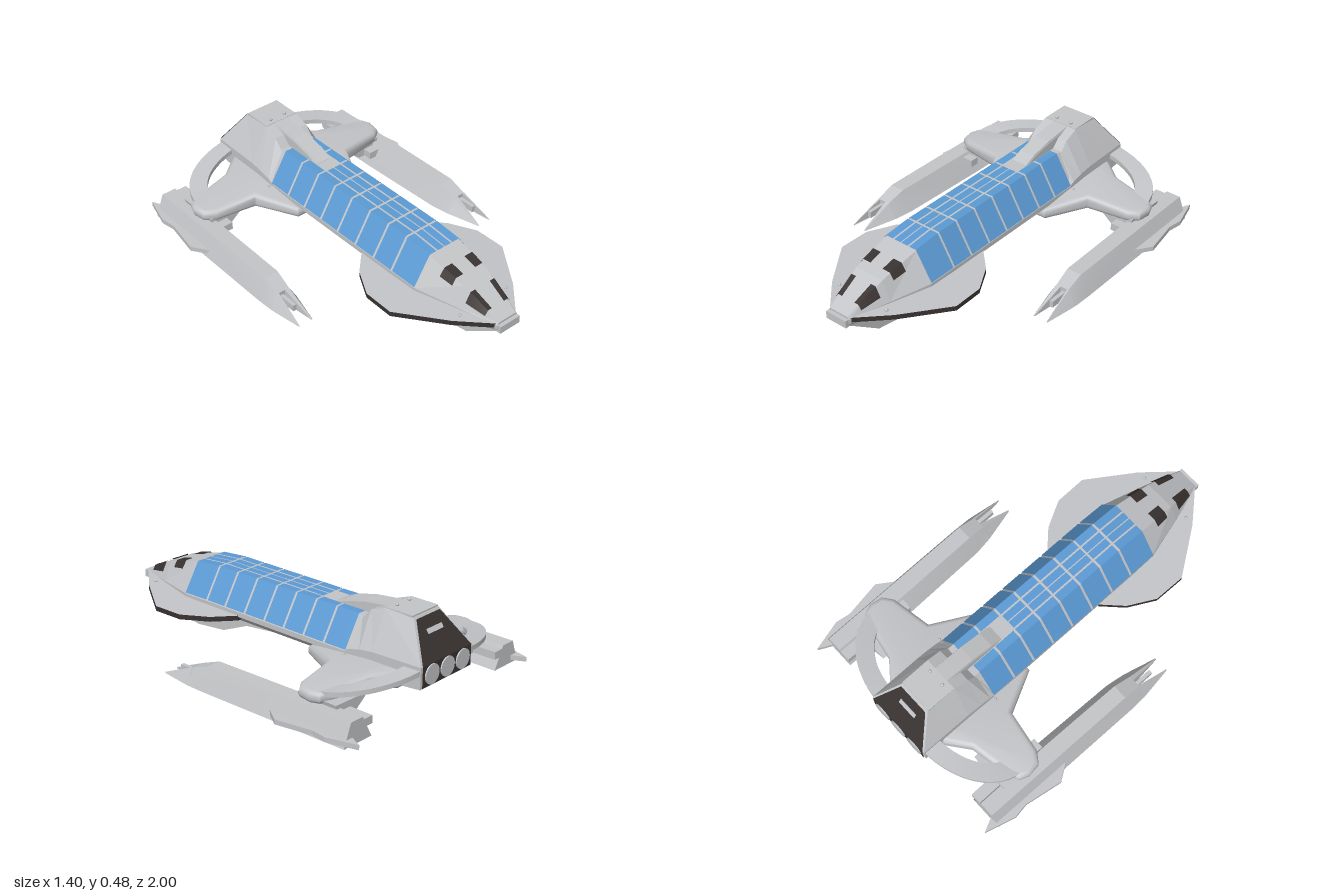
import * as THREE from 'three';
import { toCreasedNormals } from 'three/addons/utils/BufferGeometryUtils.js';

const mat = (name, color, side = THREE.FrontSide) => {
  const m = new THREE.MeshStandardMaterial({ color, side });
  m.name = name;
  return m;
};

function fromTriangles(list) {
  const g = new THREE.BufferGeometry();
  g.setAttribute('position', new THREE.Float32BufferAttribute(list.flat(2), 3));
  g.computeVertexNormals();
  return g;
}

// reverse every triangle
function flip(g) {
  const p = g.attributes.position, a = new THREE.Vector3(), b = new THREE.Vector3();
  for (let i = 0; i < p.count; i += 3) {
    a.fromBufferAttribute(p, i + 1);
    b.fromBufferAttribute(p, i + 2);
    p.setXYZ(i + 1, b.x, b.y, b.z);
    p.setXYZ(i + 2, a.x, a.y, a.z);
  }
  g.computeVertexNormals();
  return g;
}

// closed solid through rings of [x, y, z]; normals always end up outward
function loft(rings) {
  const tris = [], n = rings[0].length;
  const quad = (a, b, c, d) => tris.push([a, b, c], [a, c, d]);
  for (let k = 0; k < rings.length - 1; k++) {
    for (let i = 0; i < n; i++) {
      const j = (i + 1) % n;
      quad(rings[k][i], rings[k][j], rings[k + 1][j], rings[k + 1][i]);
    }
  }
  const first = rings[0], last = rings[rings.length - 1];
  for (let i = 0; i < n / 2 - 1; i++) {
    quad(first[n - 1 - i], first[n - 2 - i], first[i + 1], first[i]);
    quad(last[i], last[i + 1], last[n - 2 - i], last[n - 1 - i]);
  }
  let volume = 0;
  for (const [a, b, c] of tris) {
    volume += new THREE.Vector3(...a).dot(new THREE.Vector3(...b).cross(new THREE.Vector3(...c)));
  }
  const g = fromTriangles(tris);
  return volume < 0 ? flip(g) : g;
}

// full ring from the points of its +x half, top to bottom
const ring = (half) => [...half, ...half.map(([x, y, z]) => [-x, y, z]).reverse()];

// plan outline in (x, z) made into a slab whose top is at y
function slab(points, y, depth, bevel = 0) {
  const shape = new THREE.Shape(points.map((p) => new THREE.Vector2(...p)));
  const g = new THREE.ExtrudeGeometry(shape, {
    depth: depth - 2 * bevel, bevelEnabled: bevel > 0, bevelThickness: bevel,
    bevelSize: bevel, bevelOffset: -bevel, bevelSegments: 4,
  });
  return g.rotateX(Math.PI / 2).translate(0, y - bevel, 0);
}

// vertices moved by a rule
function warp(g, rule) {
  const p = g.attributes.position;
  for (let i = 0; i < p.count; i++) p.setXYZ(i, ...rule(p.getX(i), p.getY(i), p.getZ(i)));
  g.computeVertexNormals();
  return g;
}

// fuselage stations: z, roof half width, roof y, shoulder half width, shoulder y, belly half width, belly y
const stations = [
  [-0.8, 0.095, 0.385, 0.19, 0.225, 0.11, 0.14],
  [0.4, 0.095, 0.385, 0.19, 0.225, 0.11, 0.14],
  [0.55, 0.095, 0.372, 0.187, 0.222, 0.11, 0.142],
  [0.77, 0.082, 0.318, 0.127, 0.216, 0.09, 0.145],
  [0.98, 0.055, 0.218, 0.064, 0.205, 0.055, 0.165],
];

// skin point: u 0..1 crosses the roof, 1..2 runs down the flank
function skin(u, z, lift) {
  let k = 0;
  while (k < stations.length - 2 && z > stations[k + 1][0]) k++;
  const a = stations[k], b = stations[k + 1], t = (z - a[0]) / (b[0] - a[0]);
  const [, rx, ry, sx, sy] = a.map((v, i) => v + (b[i] - v) * t);
  return u <= 1 ? [rx * u, ry + lift, z]
    : [rx + (sx - rx) * (u - 1) + lift, ry + (sy - ry) * (u - 1) + lift, z];
}

function patch(u0, u1, z0, z1, lift = 0.004) {
  const us = u0 < 1 && u1 > 1 ? [u0, 1, u1] : [u0, u1], tris = [], steps = 4;
  for (let i = 0; i < us.length - 1; i++) {
    for (let k = 0; k < steps; k++) {
      const za = z0 + (z1 - z0) * k / steps, zb = z0 + (z1 - z0) * (k + 1) / steps;
      const [a, b, c, d] = [[us[i], za], [us[i], zb], [us[i + 1], zb], [us[i + 1], za]]
        .map(([u, z]) => skin(u, z, lift));
      tris.push([a, b, c], [a, c, d]);
    }
  }
  return fromTriangles(tris);
}

export function createModel() {
  const model = new THREE.Group();
  model.name = 'spacecraft';
  const grey = mat('hullGrey', 0xc3c4c7);
  const blue = mat('panelBlue', 0x5b9ad4, THREE.DoubleSide);
  const dark = mat('darkTrim', 0x383230, THREE.DoubleSide);

  const add = (name, g, m = grey) => {
    const mesh = new THREE.Mesh(g, m);
    mesh.name = name;
    model.add(mesh);
    return mesh;
  };
  // the same part on the left (+x) and the right
  const both = (name, g, m = grey, crease = 0.3) => {
    const left = g.index ? g.toNonIndexed() : g;
    const right = flip(left.clone().scale(-1, 1, 1));
    add(name + 'Left', toCreasedNormals(left, crease), m);
    add(name + 'Right', toCreasedNormals(right, crease), m);
  };
  const box = (x0, x1, y0, y1, z0, z1) => new THREE.BoxGeometry(x1 - x0, y1 - y0, z1 - z0)
    .translate((x0 + x1) / 2, (y0 + y1) / 2, (z0 + z1) / 2);

  // fuselage and blunt nose
  add('fuselage', loft(stations.map(([z, rx, ry, sx, sy, bx, by]) =>
    ring([[rx, ry, z], [sx, sy, z], [sx, sy - 0.025, z], [bx, by, z]]))));
  add('noseTip', box(-0.062, 0.062, 0.167, 0.207, 0.96, 1));

  // blue panels in eight bays
  const seams = [-0.535, -0.4, -0.27, -0.14, -0.01, 0.125, 0.26, 0.39, 0.55];
  for (let i = 0; i < seams.length - 1; i++) {
    const z0 = seams[i] + (i ? 0.006 : 0), z1 = seams[i + 1] - (i < 7 ? 0.006 : 0);
    both('flankPanel', patch(1, 1.98, z0, z1), blue);
    both('roofPanel', patch(0.54, 1, z0, z1), blue);
    if (i > 1) both('roofCentrePanel', patch(0.03, 0.44, z0, z1), blue);
  }

  // cockpit windows wrapped over the roof edge
  both('frontWindow', patch(0.62, 1.6, 0.81, 0.915, 0.006), dark);
  both('rearWindow', patch(0.45, 1.3, 0.645, 0.72, 0.006), dark);

  // dark-edged nose plate
  const plate = slab([[0, 0.17], [0.19, 0.17], [0.29, 0.27], [0.365, 0.41], [0.368, 0.58], [0.2, 0.82],
    [0.065, 0.97], [0, 0.97]], 0.215, 0.026);
  both('nosePlate', warp(plate, (x, y, z) => [x, y - 0.045 * x, z]), [grey, dark]);

  // keel below the nose
  const keel = new THREE.Shape([[0.98, 0.17], [0.78, 0.03], [0.6, 0], [0.41, 0.018], [0.24, 0.09],
    [0, 0.115], [-0.3, 0.145], [-0.3, 0.17]].map((p) => new THREE.Vector2(...p)));
  add('keel', new THREE.ExtrudeGeometry(keel, { depth: 0.116, bevelEnabled: false })
    .rotateY(-Math.PI / 2).translate(0.058, 0, 0));

  // engine block
  add('engineBlock', loft([
    [[0.1, 0.31, -0.535], [0.193, 0.235, -0.535], [0.193, 0.17, -0.535]],
    [[0.1, 0.375, -0.56], [0.193, 0.245, -0.56], [0.193, 0.15, -0.56]],
    [[0.1, 0.43, -0.61], [0.193, 0.26, -0.62], [0.193, 0.145, -0.62]],
    [[0.097, 0.46, -0.69], [0.192, 0.27, -0.7], [0.192, 0.14, -0.7]],
    [[0.093, 0.455, -0.855], [0.19, 0.275, -0.98], [0.19, 0.165, -0.98]],
  ].map(ring)));

  // dark rear panel, exhaust vent and three exhausts
  const rear = [[0.087, 0.448, -0.866], [0.182, 0.277, -0.985], [0.182, 0.17, -0.985]];
  for (let i = 0; i < 2; i++) {
    const [a, b] = [rear[i], rear[i + 1]], m = ([x, y, z]) => [-x, y, z];
    add('rearPanel', fromTriangles([[a, b, m(b)], [a, m(b), m(a)]]), dark);
  }
  const vent = add('rearVent', new THREE.BoxGeometry(0.11, 0.025, 0.006));
  vent.position.set(0, 0.39, -0.907);
  vent.rotation.x = 0.6;
  for (const x of [-0.115, 0, 0.115]) {
    add('exhaust', new THREE.CylinderGeometry(0.05, 0.05, 0.008, 24).rotateX(Math.PI / 2)
      .translate(x, 0.225, -0.988));
  }

  // dorsal spine
  add('dorsalSpine', loft([[-0.345, 0.386], [-0.41, 0.415], [-0.53, 0.443], [-0.7, 0.462]].map(([z, y]) =>
    ring([[0.043, y, z], [0.047, y - 0.012, z], [0.047, 0.375, z]]))));
  add('roofPlate', box(-0.095, 0.095, 0.45, 0.463, -0.85, -0.69));

  // wings, thicker toward the root
  const wing = slab([[0, -0.87], [0.2, -0.87], [0.31, -0.785], [0.52, -0.745], [0.575, -0.72], [0.595, -0.67],
    [0.585, -0.6], [0.53, -0.56], [0.31, -0.525], [0.2, -0.31], [0, -0.31]], 0.2, 0.06, 0.025);
  both('wing', warp(wing, (x, y, z) => {
    const rise = z < -0.45 && y > 0.17 ? 0.08 * Math.max(0, 0.56 - x) : 0;
    return [x, y + rise - 0.006 * (0.6 - x), z];
  }), grey, 0.7);

  // curved braces from engine block to wing tips
  const arch = [];
  for (let i = 0; i <= 12; i++) {
    const t = i / 12, a = t * Math.PI / 2, y = 0.262 - 0.065 * t;
    const at = (rx, rz, h) => [0.14 + rx * Math.sin(a), h, -0.68 - rz * Math.cos(a)];
    arch.push([at(0.42, 0.297, y), at(0.42, 0.297, y - 0.025), at(0.325, 0.205, y - 0.025), at(0.325, 0.205, y)]);
  }
  both('brace', loft(arch), grey, 0.5);

  // pods: [z, inner foot, inner top, outer top, outer foot, height]
  const pod = (rows) => loft(rows.map(([z, a, b, c, d, h]) =>
    [[a, 0.025, z], [b, h, z], [c, h, z], [d, 0.025, z]]));
  both('podBody', pod([
    [-0.93, 0.468, 0.53, 0.61, 0.655, 0.14],
    [-0.52, 0.475, 0.53, 0.615, 0.66, 0.14],
    [-0.05, 0.49, 0.54, 0.62, 0.665, 0.14],
    [0.05, 0.505, 0.55, 0.62, 0.662, 0.105],
  ]));
  both('podInnerProng', pod([[0.05, 0.505, 0.55, 0.575, 0.578, 0.105], [0.23, 0.552, 0.555, 0.558, 0.56, 0.03]]));
  both('podOuterProng', pod([[0.05, 0.61, 0.612, 0.622, 0.662, 0.105], [0.23, 0.63, 0.632, 0.634, 0.637, 0.03]]));
  both('podSensor', box(0.585, 0.605, 0.05, 0.085, 0.03, 0.15));
  both('podRail', box(0.464, 0.525, 0.085, 0.125, -0.93, -0.52));
  both('podFin', slab([[0.6, -0.93], [0.635, -1], [0.68, -0.84], [0.668, -0.76], [0.702, -0.56], [0.635, -0.46],
    [0.6, -0.46]], 0.065, 0.025));

  // pylons joining wings and pods
  both('pylon', loft([-0.8, -0.57].map((z) =>
    [[0.34, 0.155, z], [0.43, 0.085, z], [0.54, 0.085, z], [0.56, 0.16, z]])));

  // small bolts and beacons
  for (const [x, y, z] of [[0.045, 0.468, -0.72], [0.208, 0.215, -0.74], [0.208, 0.215, -0.54], [0.15, 0.212, 0.82]]) {
    both('beacon', new THREE.SphereGeometry(0.009, 8, 6).translate(x, y, z), grey, 1);
  }
  return model;
}
